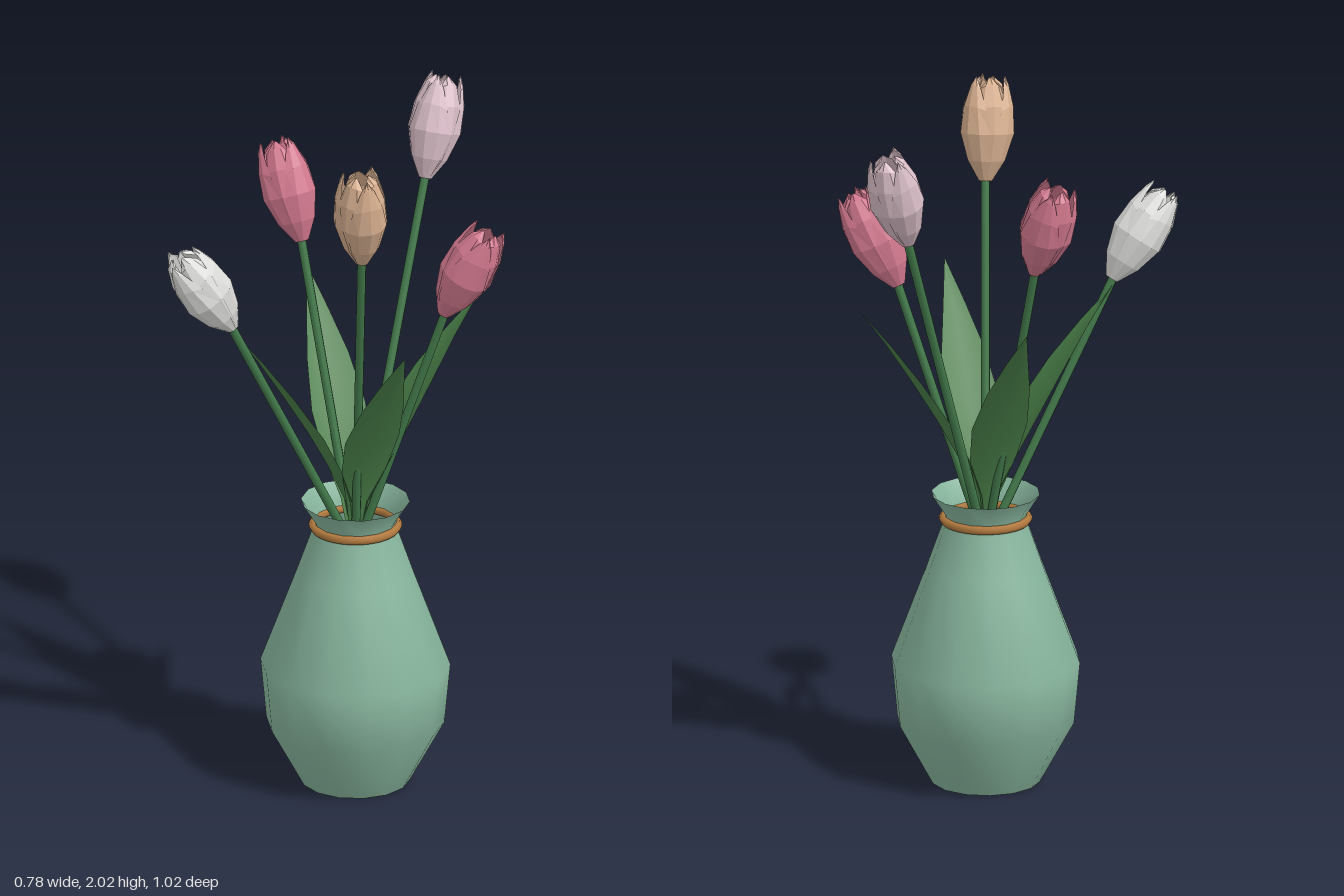
import * as THREE from 'three';

const mat = (name, color, extra = {}) => {
  const m = new THREE.MeshStandardMaterial({ color, ...extra });
  m.name = name;
  return m;
};
const twoSided = { side: THREE.DoubleSide };
const petalStyle = { side: THREE.DoubleSide, flatShading: true };
const CENTRE = [-0.01, 0, 0.025];

// Surface from rows of points, each row having the same number of columns
function sheet(rows) {
  const cols = rows[0].length, index = [];
  for (let i = 0; i < rows.length - 1; i++) {
    for (let j = 0; j < cols - 1; j++) {
      const a = i * cols + j, b = a + 1, c = a + cols, d = c + 1;
      index.push(a, c, b, b, c, d);
    }
  }
  const g = new THREE.BufferGeometry();
  g.setAttribute('position', new THREE.Float32BufferAttribute(rows.flat(2), 3));
  g.setIndex(index);
  g.computeVertexNormals();
  return g;
}

// Curved petal around the y axis; profile rows are [height, radius, half angle]
function petalGeometry(profile) {
  return sheet(profile.map(([y, r, w]) => [-1, -0.5, 0, 0.5, 1].map(u => {
    const a = u * w;
    const rr = r * (1 - 0.08 * u * u);
    const yy = y - (y > 0.2 ? 0.012 * u * u : 0);
    return [Math.sin(a) * rr, yy, Math.cos(a) * rr];
  })));
}

// Leaf blade leaning towards +x; rows are [reach, height, half width]
function leafGeometry() {
  const rows = [
    [0.005, 0.72, 0.015], [0.03, 0.86, 0.036], [0.085, 0.98, 0.07],
    [0.145, 1.09, 0.083], [0.225, 1.22, 0.064], [0.30, 1.335, 0.033], [0.38, 1.445, 0.001],
  ];
  return sheet(rows.map(([x, y, w]) => [-1, 0, 1].map(u =>
    [x - 0.2 * w * Math.abs(u), y + 0.1 * w * Math.abs(u), u * w])));
}

export function createModel() {
  const root = new THREE.Group();
  root.name = 'vaseOfTulips';
  const vaseMat = mat('vaseGreen', 0x88b69e, twoSided);
  const bandMat = mat('bandBronze', 0xb27a3e);
  const stemMat = mat('stemGreen', 0x42794a);
  const leafMat = mat('leafGreen', 0x4a8049, twoSided);
  const rose = mat('rosePetal', 0xd47a90, petalStyle);
  const blush = mat('blushPetal', 0xdcc0ca, petalStyle);
  const peach = mat('peachPetal', 0xd9b191, petalStyle);
  const white = mat('whitePetal', 0xdededc, petalStyle);

  const add = (parent, name, geometry, material) => {
    const mesh = new THREE.Mesh(geometry, material);
    mesh.name = name;
    parent.add(mesh);
    return mesh;
  };

  // Vase: open lathed body, flat foot and a band round the neck
  const SIDES = 14, HALF = Math.PI / SIDES;
  const vase = new THREE.Group();
  vase.name = 'vase';
  vase.position.set(...CENTRE);
  root.add(vase);
  const profile = [[0.157, 0], [0.255, 0.18], [0.272, 0.36], [0.168, 0.64],
    [0.124, 0.765], [0.118, 0.80], [0.156, 0.86]].map(p => new THREE.Vector2(...p));
  add(vase, 'vaseBody', new THREE.LatheGeometry(profile, SIDES, HALF), vaseMat);
  const foot = add(vase, 'vaseFoot', new THREE.CircleGeometry(0.157, SIDES), vaseMat);
  foot.rotation.x = Math.PI / 2;
  const band = add(vase, 'neckBand', new THREE.TorusGeometry(0.121, 0.013, 6, SIDES * 2), bandMat);
  band.rotation.x = Math.PI / 2;
  band.position.y = 0.785;

  // Four leaves, a quarter turn apart
  const blade = leafGeometry();
  for (let i = 0; i < 4; i++) {
    const leaf = add(root, 'leaf', blade, leafMat);
    leaf.position.set(...CENTRE);
    leaf.rotation.y = -THREE.MathUtils.degToRad(38 + 90 * i);
  }

  // Tulips: three outer and three inner petals on a straight stem
  const outer = petalGeometry([[0, 0.02, 1.05], [0.06, 0.056, 1.0], [0.14, 0.081, 0.95],
    [0.22, 0.076, 0.72], [0.28, 0.061, 0.4], [0.305, 0.05, 0.06]]);
  const inner = petalGeometry([[0, 0.016, 1.05], [0.06, 0.049, 1.05], [0.14, 0.074, 1.05],
    [0.22, 0.068, 1.0], [0.28, 0.046, 0.85], [0.3, 0.022, 0.5]]);
  const up = new THREE.Vector3(0, 1, 0);
  const root0 = new THREE.Vector3(-0.01, 0.7, 0.025);

  function tulip(name, base, tip, petalMat, spin) {
    const flower = new THREE.Group();
    flower.name = name;
    root.add(flower);
    const b = new THREE.Vector3(...base), axis = new THREE.Vector3(...tip).sub(b).normalize();
    const end = b.clone().addScaledVector(axis, 0.02);
    const along = end.clone().sub(root0);
    const stem = add(flower, 'stem', new THREE.CylinderGeometry(0.013, 0.013, along.length(), 8), stemMat);
    stem.position.copy(root0).add(end).multiplyScalar(0.5);
    stem.quaternion.setFromUnitVectors(up, along.normalize());
    const head = new THREE.Group();
    head.name = 'flowerHead';
    head.position.copy(b);
    head.quaternion.setFromUnitVectors(up, axis);
    flower.add(head);
    for (let i = 0; i < 6; i++) {
      const petal = add(head, i % 2 ? 'innerPetal' : 'outerPetal', i % 2 ? inner : outer, petalMat);
      petal.rotation.y = spin + i * Math.PI / 3;
    }
  }

  tulip('backTulip', [-0.01, 1.715, -0.37], [-0.005, 1.99, -0.465], blush, 0.2);
  tulip('frontLeftTulip', [0.14, 1.71, 0.245], [0.165, 2.0, 0.295], peach, 0.9);
  tulip('leftTulip', [0.235, 1.46, -0.055], [0.36, 1.72, -0.095], rose, 0.5);
  tulip('rightTulip', [-0.235, 1.585, -0.06], [-0.335, 1.86, -0.09], rose, 1.3);
  tulip('frontRightTulip', [-0.235, 1.46, 0.335], [-0.335, 1.70, 0.465], white, 0.1);
  return root;
}
